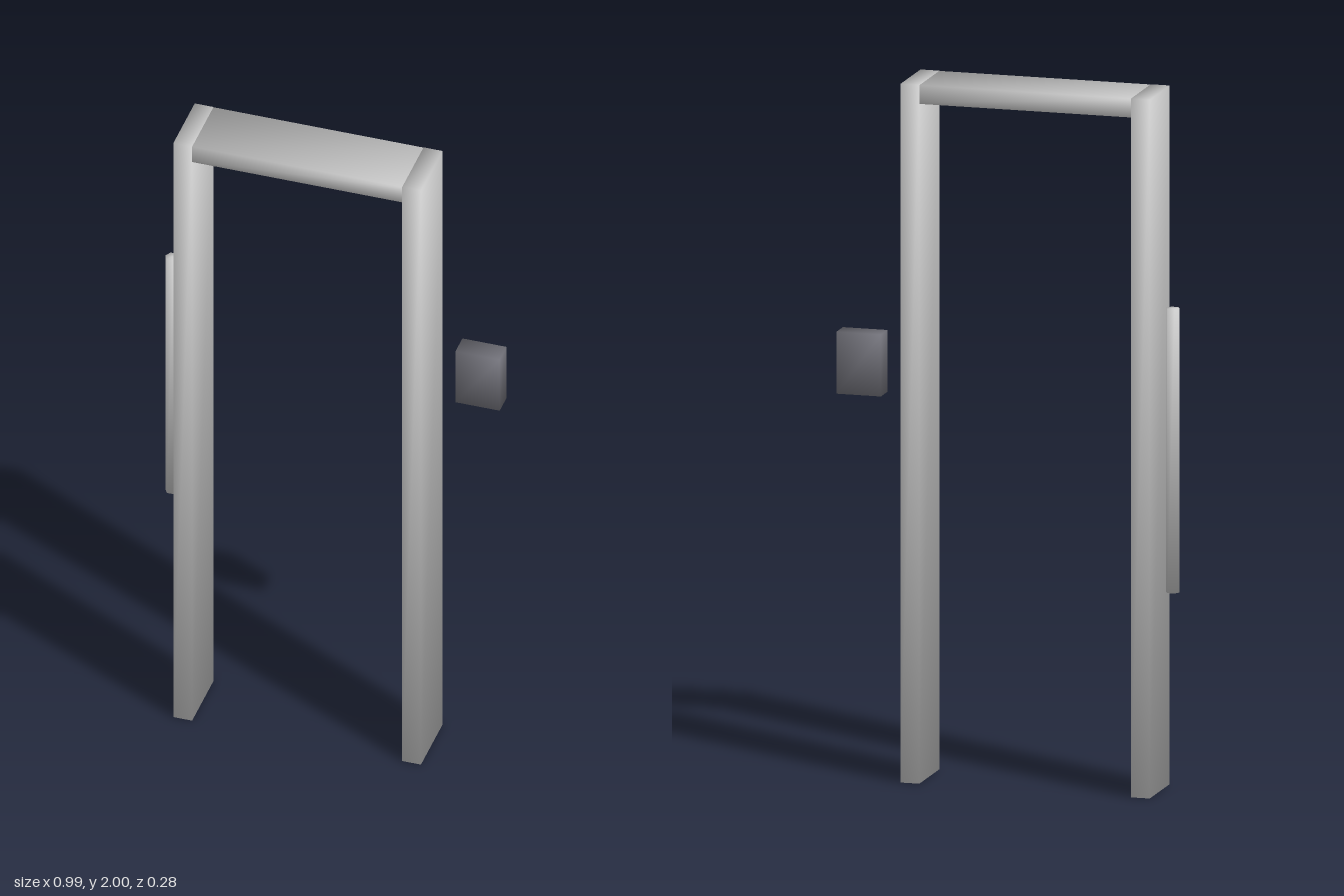
import * as THREE from 'three';

const grey = new THREE.MeshStandardMaterial({ color: 0xcccccc });
const dark = new THREE.MeshStandardMaterial({ color: 0x72727a });

// Build a part with softened shading: each corner normal is shared equally by the faces meeting there
function softPart(name, geometry, center, halfSize, material) {
  const { position, normal } = geometry.attributes;
  const n = new THREE.Vector3();
  for (let i = 0; i < position.count; i++) {
    n.fromBufferAttribute(position, i).divide(halfSize).normalize();
    normal.setXYZ(i, n.x, n.y, n.z);
  }
  const mesh = new THREE.Mesh(geometry, material);
  mesh.position.copy(center);
  mesh.name = name;
  return mesh;
}

// Box given by its extents on each axis
function box(name, [x0, x1], [y0, y1], [z0, z1], material) {
  const size = new THREE.Vector3(x1 - x0, y1 - y0, z1 - z0);
  const center = new THREE.Vector3(x0 + x1, y0 + y1, z0 + z1).multiplyScalar(0.5);
  const geometry = new THREE.BoxGeometry(size.x, size.y, size.z);
  return softPart(name, geometry, center, size.multiplyScalar(0.5), material);
}

export function createModel() {
  const group = new THREE.Group();
  group.name = 'doorFrame';

  // Two jambs and the head; the head runs through both jambs, a hair inside their faces
  const depth = [-0.057, 0.138];
  group.add(
    box('rightJamb', [-0.395, -0.34], [0, 2], depth, grey),
    box('leftJamb', [0.277, 0.332], [0, 2], depth, grey),
    box('head', [-0.3945, 0.3315], [1.946, 1.9995], [-0.0565, 0.1375], grey)
  );

  // Wall control box beside the frame
  group.add(box('controlBox', [0.365, 0.495], [1.12, 1.297], [-0.138, -0.074], dark));

  // Six-sided pull handle, with corners pointing sideways
  const bar = new THREE.CylinderGeometry(0.02, 0.02, 0.813, 6).rotateY(Math.PI / 2);
  const barCenter = new THREE.Vector3(-0.475, 1.0115, -0.099);
  group.add(softPart('pullHandle', bar, barCenter, new THREE.Vector3(0.02, 0.4065, 0.02), grey));

  return group;
}
